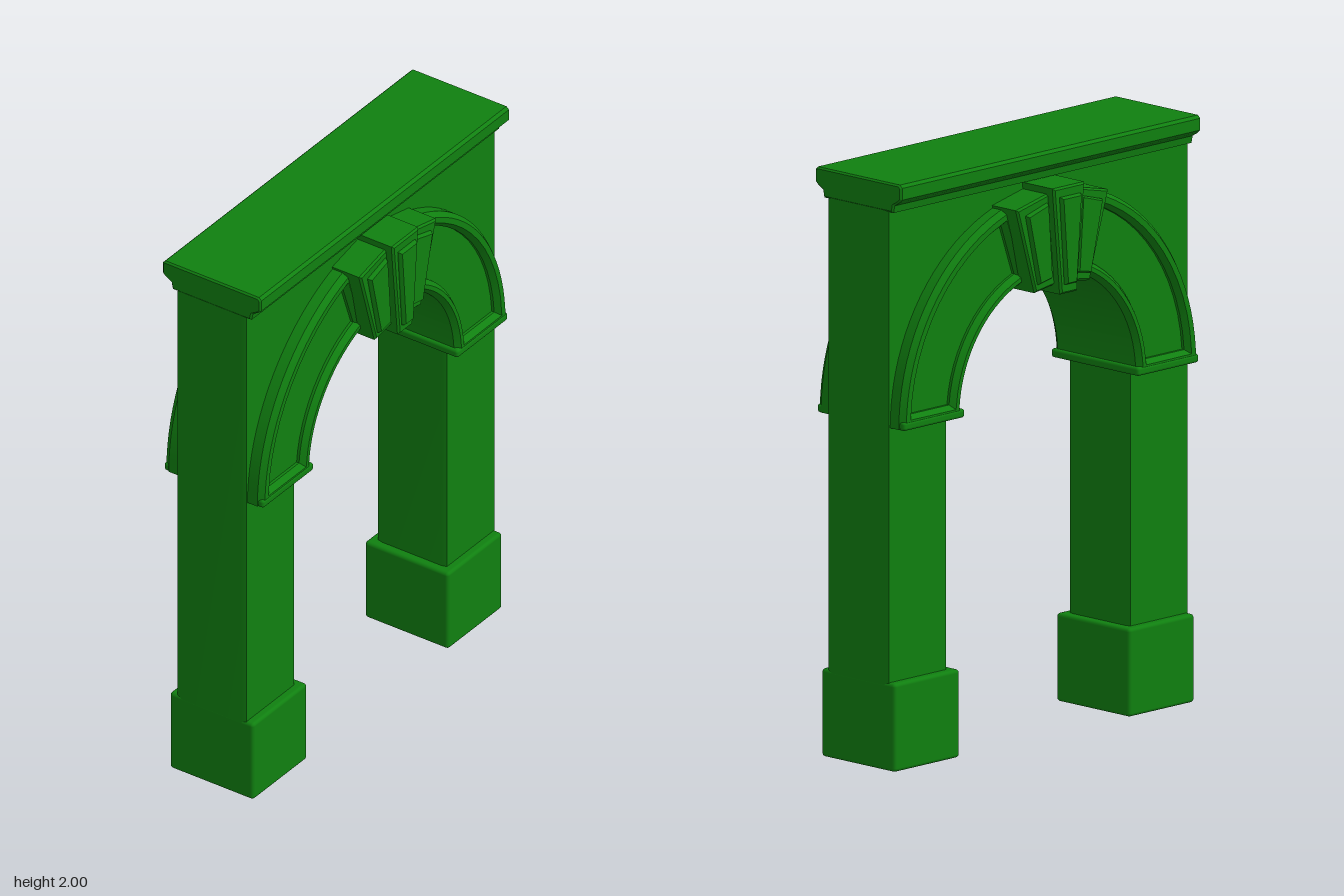
import * as THREE from 'three';
import { toCreasedNormals } from 'three/addons/utils/BufferGeometryUtils.js';
import { RoundedBoxGeometry } from 'three/addons/geometries/RoundedBoxGeometry.js';

const material = new THREE.MeshStandardMaterial({ color: 0x108010 });
const SPRING = 1.165, INNER = 0.42, OUTER = 0.7, END = 0.71;

function part(name, geometry) {
  const mesh = new THREE.Mesh(geometry, material);
  mesh.name = name;
  return mesh;
}

// Extrudes an outline symmetrically to +-halfDepth, bevelled inside its outline
function slab(shape, halfDepth, bevelSize = 0, bevelDepth = bevelSize) {
  const g = new THREE.ExtrudeGeometry(shape, {
    depth: 2 * (halfDepth - bevelDepth), curveSegments: 24,
    bevelEnabled: bevelSize > 0, bevelSize, bevelThickness: bevelDepth,
    bevelOffset: -bevelSize, bevelSegments: 1,
  });
  return g.translate(0, 0, bevelDepth - halfDepth);
}

// Outline drawn as (z, y), with its thickness along x
const acrossX = (...args) => toCreasedNormals(slab(...args).rotateY(-Math.PI / 2), 0.4);

const polygon = (points) => new THREE.Shape(points.map(([a, b]) => new THREE.Vector2(a, b)));

function halfRing(inner, outer) {
  const s = new THREE.Shape();
  s.moveTo(outer, SPRING);
  s.absarc(0, SPRING, outer, 0, Math.PI, false);
  s.lineTo(-inner, SPRING);
  s.absarc(0, SPRING, inner, Math.PI, 0, true);
  s.closePath();
  return s;
}

// Sunken panel of one arch haunch, level at the foot and radial at the crown
function panelPath(side) {
  const low = SPRING + 0.045, top = 1.23, r0 = 0.465, r1 = 0.65;
  const points = [];
  for (const [r, flip] of [[r1, false], [r0, true]]) {
    const start = Math.asin((low - SPRING) / r);
    for (let i = 0; i <= 12; i++) {
      const t = (flip ? 12 - i : i) / 12;
      const a = start + (top - start) * t;
      points.push(new THREE.Vector2(side * r * Math.cos(a), SPRING + r * Math.sin(a)));
    }
  }
  return new THREE.Path(points);
}

// Wedge stone passing through the wall, with a raised panel on both faces
function voussoir(name, points, halfDepth) {
  const group = new THREE.Group();
  group.name = name;
  const n = points.length;
  const cz = points.reduce((s, p) => s + p[0], 0) / n;
  const cy = points.reduce((s, p) => s + p[1], 0) / n;
  const inset = points.map(([z, y]) => [cz + (z - cz) * 0.64, cy + (y - cy) * 0.82]);
  group.add(part('stone', acrossX(polygon(points), halfDepth, 0.007)));
  group.add(part('raisedPanel', acrossX(polygon(inset), halfDepth + 0.015, 0.006, 0.01)));
  return group;
}

export function createModel() {
  const model = new THREE.Group();
  model.name = 'archway';

  // Wall with both pillars and the round opening
  const wall = new THREE.Shape();
  wall.moveTo(END, 0.29);
  wall.lineTo(END, 1.905);
  wall.lineTo(-END, 1.905);
  wall.lineTo(-END, 0.29);
  wall.lineTo(-0.43, 0.29);
  wall.lineTo(-0.43, SPRING);
  wall.absarc(0, SPRING, 0.43, Math.PI, 0, true);
  wall.lineTo(0.43, 0.29);
  wall.closePath();
  model.add(part('wall', acrossX(wall, 0.14, 0.005, 0.02)));

  // Plinths and imposts
  for (const side of [1, -1]) {
    const plinth = part('plinth', new RoundedBoxGeometry(0.34, 0.3, 0.31, 2, 0.012));
    plinth.position.set(0, 0.15, side * 0.555);
    const impost = part('impost', new RoundedBoxGeometry(0.405, 0.03, 0.29, 2, 0.01));
    impost.position.set(0, SPRING + 0.012, side * 0.553);
    model.add(plinth, impost);
  }

  // Moulded arch band: core plus framed faces
  model.add(part('archCore', acrossX(halfRing(INNER + 0.003, OUTER - 0.003), 0.17)));
  const frame = halfRing(INNER, OUTER);
  frame.holes.push(panelPath(1), panelPath(-1));
  model.add(part('archFrame', acrossX(frame, 0.2, 0.015, 0.02)));

  // Keystone and its two neighbours
  model.add(voussoir('keystone',
    [[-0.04, 1.53], [0.04, 1.53], [0.075, 1.895], [-0.075, 1.895]], 0.285));
  for (const side of [1, -1]) {
    const points = [[0.03, 1.56], [0.13, 1.545], [0.218, 1.84], [0.06, 1.875]]
      .map(([z, y]) => [side * z, y]);
    model.add(voussoir('sideVoussoir', side > 0 ? points : points.reverse(), 0.255));
  }

  // Cornice profile run along z
  const half = [[0.16, 1.9], [0.165, 1.925], [0.19, 1.94], [0.2, 1.95], [0.2, 1.99], [0.19, 2]];
  const profile = polygon([...half, ...half.map(([x, y]) => [-x, y]).reverse()]);
  model.add(part('cornice', toCreasedNormals(slab(profile, END, 0.006), 0.4)));

  return model;
}
